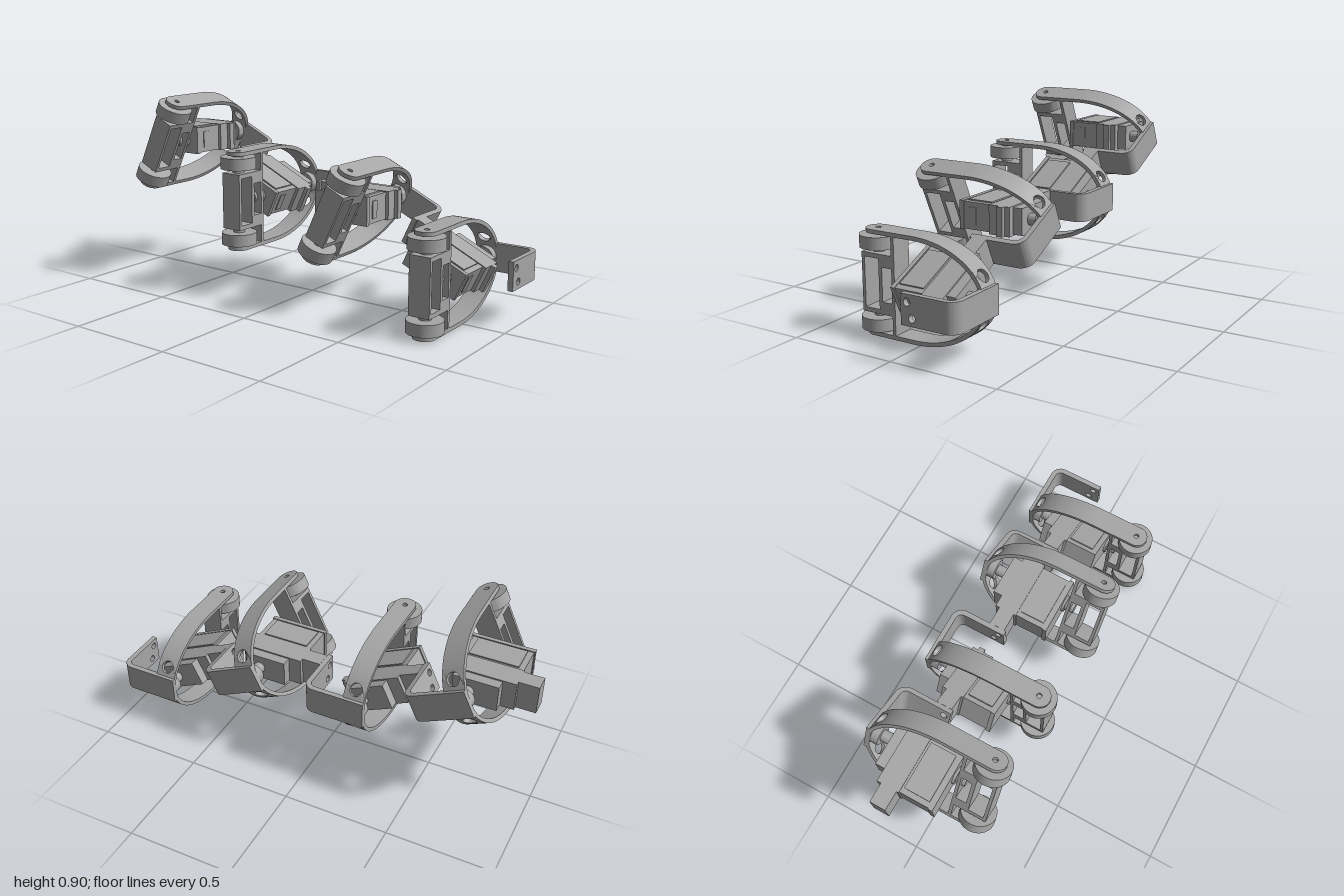
import * as THREE from 'three';
import { toCreasedNormals } from 'three/addons/utils/BufferGeometryUtils.js';

const grey = new THREE.MeshStandardMaterial({ color: 0xa6a6a6 });
grey.name = 'grey plastic';

function add(parent, name, geo) {
  const mesh = new THREE.Mesh(toCreasedNormals(geo, 0.6), grey);
  mesh.name = name;
  parent.add(mesh);
  return mesh;
}

// box given by its limits
function block(parent, name, x0, x1, y0, y1, z0, z1) {
  const geo = new THREE.BoxGeometry(x1 - x0, y1 - y0, z1 - z0);
  return add(parent, name, geo.translate((x0 + x1) / 2, (y0 + y1) / 2, (z0 + z1) / 2));
}

// cylinder along z
function pin(parent, name, r, z0, z1) {
  const geo = new THREE.CylinderGeometry(r, r, z1 - z0, 32).rotateX(Math.PI / 2);
  return add(parent, name, geo.translate(0, 0, (z0 + z1) / 2));
}

function rect(u0, v0, u1, v1, Type = THREE.Shape) {
  const s = new Type();
  s.moveTo(u0, v0); s.lineTo(u1, v0); s.lineTo(u1, v1); s.lineTo(u0, v1);
  s.closePath();
  return s;
}

const hole = (u, v, r) => new THREE.Path().absarc(u, v, r, 0, Math.PI * 2, true);

// extrude a (-z, y) outline along x, from x0
function extrudeX(shape, x0, depth) {
  return new THREE.ExtrudeGeometry(shape, { depth, bevelEnabled: false, curveSegments: 16 })
    .rotateY(Math.PI / 2).translate(x0, 0, 0);
}

// centre line of half the hoop: straight run, then a quarter ellipse to the back
const W = 0.05, T = 0.018;
const points = [0.295, 0.24, 0.18, 0.12, 0.07].map(z => new THREE.Vector3(0, 0.221, z));
for (let i = 0; i <= 24; i++) {
  const a = (i / 24) * Math.PI / 2;
  points.push(new THREE.Vector3(0, 0.221 * Math.cos(a), 0.03 - 0.34 * Math.sin(a)));
}
const path = new THREE.CatmullRomCurve3(points);
path.arcLengthDivisions = 600;
const LEN = path.getLength();

// wrap a flat strip (x = arc length, y = width, z = thickness) around the hoop
function bend(geo) {
  const pos = geo.attributes.position;
  for (let i = 0; i < pos.count; i++) {
    const u = Math.min(1, Math.max(0, pos.getX(i) / LEN));
    const p = path.getPointAt(u), t = path.getTangentAt(u), n = pos.getZ(i);
    pos.setXYZ(i, -pos.getY(i), p.y - t.z * n, p.z + t.y * n);
  }
  return geo;
}

function strip(s0, s1, segments) {
  return bend(new THREE.BoxGeometry(s1 - s0, 2 * W, T, segments, 1, 1).translate((s0 + s1) / 2, 0, 0));
}

function plate(shape) {
  return bend(new THREE.ExtrudeGeometry(shape, { depth: T, bevelEnabled: false, curveSegments: 16 })
    .translate(0, 0, -T / 2));
}

function hoopHalf() {
  const half = new THREE.Group();
  half.name = 'hoopHalf';
  // rounded end with screw hole
  const end = new THREE.Shape();
  end.moveTo(0.12, -W); end.lineTo(0.12, W); end.lineTo(W, W);
  end.absarc(W, 0, W, Math.PI / 2, Math.PI * 1.5, false);
  end.holes.push(hole(0.053, 0, 0.012));
  add(half, 'hoopEnd', plate(end));
  // curved band with a round hole near the back
  const h0 = LEN - 0.15, h1 = LEN - 0.066;
  add(half, 'hoopBand', strip(0.12, h0, 36));
  const holed = new THREE.Shape();
  const N = 6;
  for (let i = 0; i <= N; i++) holed.lineTo ? (i ? holed.lineTo(h0 + (h1 - h0) * i / N, -W) : holed.moveTo(h0, -W)) : 0;
  for (let i = N; i >= 0; i--) holed.lineTo(h0 + (h1 - h0) * i / N, W);
  holed.closePath();
  holed.holes.push(hole((h0 + h1) / 2, 0, 0.029));
  add(half, 'hoopHole', plate(holed));
  add(half, 'hoopBack', strip(h1, LEN, 8));
  // wheel and its axle
  const wheel = new THREE.CylinderGeometry(0.081, 0.081, 0.055, 48);
  add(half, 'wheel', wheel.translate(0, 0.177, 0.242));
  const axle = new THREE.CylinderGeometry(0.027, 0.027, 0.092, 24);
  add(half, 'axle', axle.translate(0, 0.167, 0.242));
  return half;
}

function wheelFrame() {
  // upright frame with two windows on each side
  const s = rect(-0.295, -0.13, -0.125, 0.13);
  s.holes.push(rect(-0.28, -0.11, -0.207, 0.11, THREE.Path), rect(-0.19, -0.075, -0.14, 0.075, THREE.Path));
  const frame = new THREE.Group();
  frame.name = 'wheelFrame';
  add(frame, 'frame', extrudeX(s, -W, 2 * W));
  for (const k of [-1, 1]) {
    const back = rect(-0.14, Math.min(k * 0.13, k * 0.214), -0.125, Math.max(k * 0.13, k * 0.214));
    add(frame, 'frameTab', extrudeX(back, -W, 2 * W));
  }
  return frame;
}

function bracket() {
  const g = new THREE.Group();
  g.name = 'bracket';
  const H = 0.065;
  // back wall with rounded bend; outline in (x, -z)
  const s = new THREE.Shape();
  s.moveTo(-W, 0.32); s.lineTo(-W, 0.296); s.lineTo(0.19, 0.296);
  s.absarc(0.19, 0.266, 0.03, Math.PI / 2, 0, true);
  s.lineTo(0.22, 0.2); s.lineTo(0.244, 0.2); s.lineTo(0.244, 0.266);
  s.absarc(0.19, 0.266, 0.054, 0, Math.PI / 2, false);
  s.closePath();
  const geo = new THREE.ExtrudeGeometry(s, { depth: 2 * H, bevelEnabled: false, curveSegments: 12 });
  add(g, 'bracketArm', geo.rotateX(-Math.PI / 2).translate(0, -H, 0));
  // end plate with two screw holes
  const end = rect(0.06, -H, 0.2, H);
  end.holes.push(hole(0.09, 0.032, 0.016), hole(0.113, -0.032, 0.016));
  add(g, 'bracketPlate', extrudeX(end, 0.22, 0.024));
  return g;
}

function servo() {
  const g = new THREE.Group();
  g.name = 'servo';
  const H = 0.066;
  block(g, 'servoBody', -0.185, 0.085, -0.062, 0.062, -0.165, 0.085);
  block(g, 'frontCover', -0.19, 0.09, -H, H, 0.08, 0.1);
  block(g, 'middleBand', -0.19, 0.1, -H, H, -0.165, -0.06);
  block(g, 'endEar', 0.095, 0.119, -H, H, -0.14, -0.11);
  block(g, 'mountEar', -0.279, -0.18, -H, H, -0.145, -0.12);
  block(g, 'mountPad', -0.279, -0.18, -H, H, -0.12, -0.07);
  block(g, 'gearCover', -0.13, 0.07, -0.06, 0.06, -0.21, -0.16);
  block(g, 'endLabel', 0.084, 0.089, -0.04, 0.04, 0.015, 0.05);
  for (const k of [-1, 1]) block(g, 'sidePanel', -0.16, 0.06, k * 0.064 - 0.004, k * 0.064 + 0.004, -0.05, 0.072);
  // output horn at the back, idle pivot at the front
  pin(g, 'hornShaft', 0.027, -0.262, -0.2);
  pin(g, 'hornDisc', 0.05, -0.298, -0.26);
  pin(g, 'pivotCollar', 0.04, 0.095, 0.112);
  pin(g, 'pivotShaft', 0.027, 0.1, 0.155);
  return g;
}

export function createModel() {
  const model = new THREE.Group();
  model.name = 'segmentedCrawler';
  const bendAngle = -25 * Math.PI / 180, pitch = 0.523;
  let x = -0.716, y = 0.674;
  // four linked segments, alternately bent at their joints
  for (let i = 0; i < 4; i++) {
    const bodyAngle = i % 2 ? bendAngle : 0;
    const linkAngle = i % 2 ? 0 : bendAngle;
    const segment = new THREE.Group();
    segment.name = 'segment' + (i + 1);
    segment.position.set(x, y, 0);
    const body = servo();
    body.rotation.z = bodyAngle;
    const link = new THREE.Group();
    link.name = 'link';
    link.rotation.z = linkAngle;
    const upper = hoopHalf(), lower = hoopHalf();
    lower.rotation.z = Math.PI;
    link.add(upper, lower, wheelFrame(), bracket());
    segment.add(body, link);
    model.add(segment);
    x += pitch * Math.cos(linkAngle);
    y += pitch * Math.sin(linkAngle);
  }
  return model;
}
